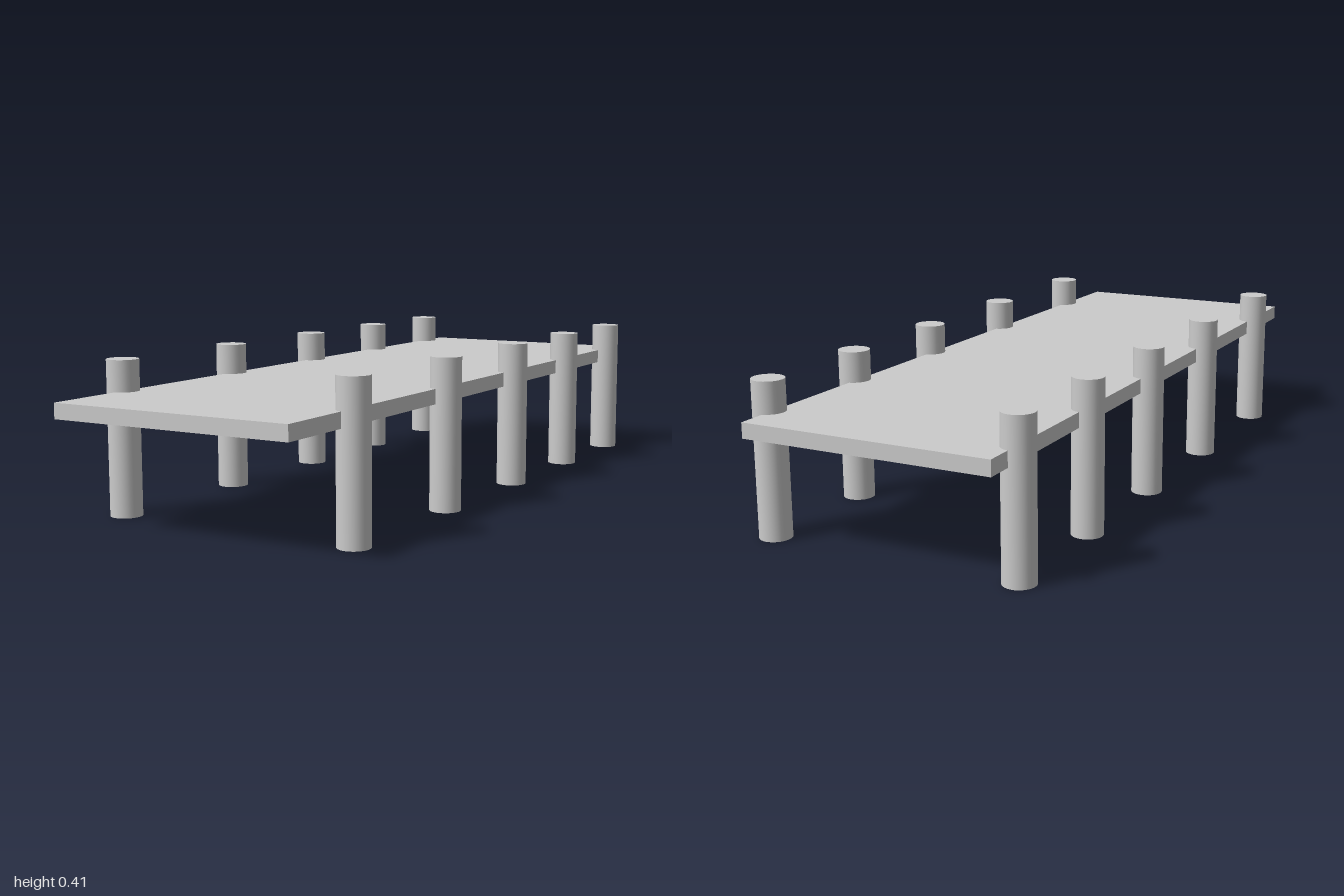
import * as THREE from 'three';

export function createModel() {
  const model = new THREE.Group();
  model.name = 'pier';
  const material = new THREE.MeshStandardMaterial({ color: 0xcccccc });

  // Flat deck slab, set very slightly off centre between the posts
  const deck = new THREE.Mesh(new THREE.BoxGeometry(0.672, 0.04, 2), material);
  deck.name = 'deck';
  deck.position.set(-0.002, 0.305, 0);
  model.add(deck);

  // Round posts in pairs along both edges, spaced wider towards the front
  const radius = 0.042, height = 0.407;
  const postGeometry = new THREE.CylinderGeometry(radius, radius, height, 32);
  [0.744, 0.28, -0.138, -0.521, -0.883].forEach((z, i) => {
    for (const side of [1, -1]) {
      const post = new THREE.Mesh(postGeometry, material);
      post.name = `${side > 0 ? 'left' : 'right'}Post${i + 1}`;
      post.position.set(side * 0.343, height / 2, z);
      model.add(post);
    }
  });

  return model;
}
